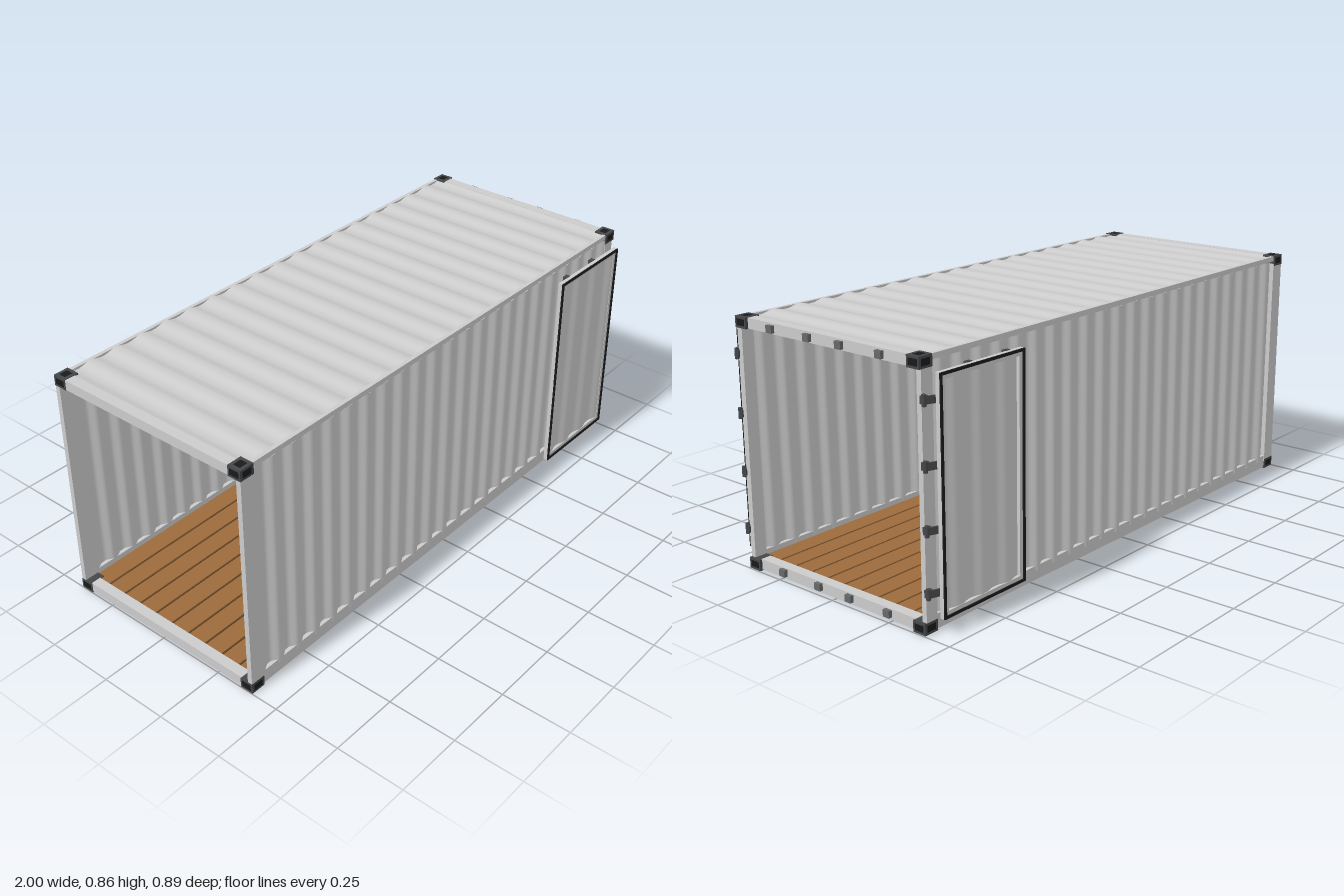
import * as THREE from 'three';

const grey = new THREE.MeshStandardMaterial({ color: 0xcccccc });
const sheet = new THREE.MeshStandardMaterial({ color: 0xcccccc, side: THREE.DoubleSide });
const paint = (color) => new THREE.MeshStandardMaterial({ color });
const iron = paint(0x45474a), black = paint(0x1a1a1a), steel = paint(0x66686a);
const under = paint(0x2b2d30), wood = paint(0x9b6b3c), woodDark = paint(0x4a3018);

function add(parent, name, geometry, material, x, y, z) {
  const mesh = new THREE.Mesh(geometry, material);
  mesh.name = name;
  mesh.position.set(x, y, z);
  parent.add(mesh);
  return mesh;
}

// Box given by its lower and upper limits on each axis
function box(parent, name, material, x0, x1, y0, y1, z0, z1) {
  const g = new THREE.BoxGeometry(Math.abs(x1 - x0), Math.abs(y1 - y0), Math.abs(z1 - z0));
  return add(parent, name, g, material, (x0 + x1) / 2, (y0 + y1) / 2, (z0 + z1) / 2);
}

// Sheet in the XY plane, rippled along x
function corrugated(width, height, waves, depth) {
  const g = new THREE.PlaneGeometry(width, height, waves * 12, 1);
  const p = g.attributes.position;
  for (let i = 0; i < p.count; i++) {
    const c = Math.cos((p.getX(i) / width + 0.5) * waves * Math.PI * 2);
    p.setZ(i, depth * THREE.MathUtils.clamp(c * 1.2, -1, 1));
  }
  g.computeVertexNormals();
  return g;
}

// Corner block with dark pockets on its three outer faces
function cornerCasting(parent, sx, top, sz) {
  const g = new THREE.Group();
  g.name = 'cornerCasting';
  const x = sx > 0 ? 0.969 : -0.9715, y = top ? 0.836 : 0.019, z = sz * 0.375;
  const h = 0.038, w = 0.055, d = 0.05, sy = top ? 1 : -1, t = 0.0006;
  add(g, 'castingBlock', new THREE.BoxGeometry(w, h, d), iron, x, y, z);
  add(g, 'endPocket', new THREE.BoxGeometry(0.002, 0.022, 0.036), black, x + sx * (w / 2 - 0.001 + t), y, z);
  add(g, 'sidePocket', new THREE.BoxGeometry(0.036, 0.022, 0.002), black, x, y, z + sz * (d / 2 - 0.001 + t));
  add(g, 'facePocket', new THREE.BoxGeometry(0.03, 0.002, 0.026), black, x, y + sy * (h / 2 - 0.001 + t), z);
  parent.add(g);
}

// Door folded right back against the side wall
function door(parent, s) {
  const g = new THREE.Group();
  g.name = s > 0 ? 'frontDoor' : 'backDoor';
  const x0 = 0.588, x1 = 0.958, y0 = 0.052, y1 = 0.808, f = 0.022;
  const border = (name, mat, w, za, zb) => {
    box(g, name, mat, x0, x0 + w, y0, y1, s * za, s * zb);
    box(g, name, mat, x1 - w, x1, y0, y1, s * za, s * zb);
    box(g, name, mat, x0 + w, x1 - w, y0, y0 + w, s * za, s * zb);
    box(g, name, mat, x0 + w, x1 - w, y1 - w, y1, s * za, s * zb);
  };
  border('doorFrame', grey, f, 0.426, 0.441);
  border('doorSeal', black, 0.009, 0.4405, 0.4455);
  add(g, 'doorPanel', corrugated(x1 - x0 - 2 * f + 0.004, y1 - y0 - 2 * f + 0.004, 3, 0.005),
    sheet, (x0 + x1) / 2, (y0 + y1) / 2, s * 0.4345);

  // Locking bars with cams, guides and handles
  for (const x of [0.648, 0.815]) {
    add(g, 'lockingBar', new THREE.CylinderGeometry(0.004, 0.004, 0.75, 10), iron, x, 0.43, s * 0.418);
    for (const y of [0.06, 0.8]) box(g, 'lockCam', iron, x - 0.011, x + 0.011, y - 0.01, y + 0.01, s * 0.412, s * 0.427);
    for (const y of [0.2, 0.65]) box(g, 'barGuide', iron, x - 0.01, x + 0.01, y - 0.008, y + 0.008, s * 0.411, s * 0.427);
    box(g, 'handleHub', iron, x - 0.009, x + 0.009, 0.357, 0.383, s * 0.409, s * 0.427);
    box(g, 'handle', iron, x, x + 0.098, 0.365, 0.375, s * 0.409, s * 0.414);
    box(g, 'handleCatch', iron, x + 0.087, x + 0.099, 0.36, 0.38, s * 0.41, s * 0.427);
  }

  // Hinges joining door edge and corner post
  for (const y of [0.135, 0.333, 0.531, 0.729]) {
    add(g, 'hingePin', new THREE.CylinderGeometry(0.007, 0.007, 0.036, 12), iron, 0.99, y, s * 0.41);
    const strap = add(g, 'hingeStrap', new THREE.BoxGeometry(0.048, 0.024, 0.006), iron, 0.971, y, s * 0.418);
    strap.rotation.y = s * Math.atan2(0.014, 0.038);
    box(g, 'hingeLug', iron, 0.972, 0.994, y - 0.012, y + 0.012, s * 0.397, s * 0.41);
  }
  parent.add(g);
}

export function createModel() {
  const model = new THREE.Group();
  model.name = 'shippingContainer';

  for (const s of [1, -1]) {
    // Side wall between top and bottom rails
    add(model, 'sideWall', corrugated(1.885, 0.8, 22, 0.008), sheet, -0.003, 0.435, s * 0.39);
    box(model, 'bottomSideRail', grey, -0.95, 0.945, 0.004, 0.052, s * 0.382, s * 0.396);
    box(model, 'topSideRail', grey, -0.95, 0.945, 0.835, 0.853, s * 0.382, s * 0.396);
    // Corner posts
    box(model, 'cornerPost', grey, 0.942, 0.988, 0.03, 0.825, s * 0.381, s * 0.399);
    box(model, 'cornerPost', grey, -0.998, -0.942, 0.03, 0.825, s * 0.381, s * 0.399);
    for (const sx of [1, -1]) for (const top of [true, false]) cornerCasting(model, sx, top, s);
    door(model, s);
  }

  // End frame rails
  for (const [a, b] of [[0.95, 0.987], [-0.997, -0.96]]) {
    box(model, 'topEndRail', grey, a, b, 0.818, 0.853, -0.352, 0.352);
    box(model, 'bottomEndRail', grey, a, b, 0.004, 0.04, -0.352, 0.352);
  }

  // Lock keepers on the door end
  for (const z of [-0.238, -0.07, 0.07, 0.238])
    for (const y of [0.025, 0.835])
      box(model, 'lockKeeper', steel, 0.982, 1, y - 0.012, y + 0.012, z - 0.013, z + 0.013);

  // Rippled roof
  const roof = add(model, 'roof', corrugated(1.94, 0.78, 18, 0.004), sheet, -0.005, 0.849, 0);
  roof.rotation.x = -Math.PI / 2;

  // Plank floor over a dark base
  const planks = 10, pitch = 0.764 / planks;
  for (let i = 0; i < planks; i++) {
    const z = -0.382 + (i + 0.5) * pitch;
    box(model, 'floorPlank', wood, -0.96, 0.95, 0.024, 0.036, z - pitch / 2 + 0.004, z + pitch / 2 - 0.004);
  }
  box(model, 'floorBed', woodDark, -0.96, 0.95, 0.018, 0.03, -0.382, 0.382);
  box(model, 'underside', under, -0.96, 0.95, 0.01, 0.018, -0.372, 0.372);

  return model;
}
